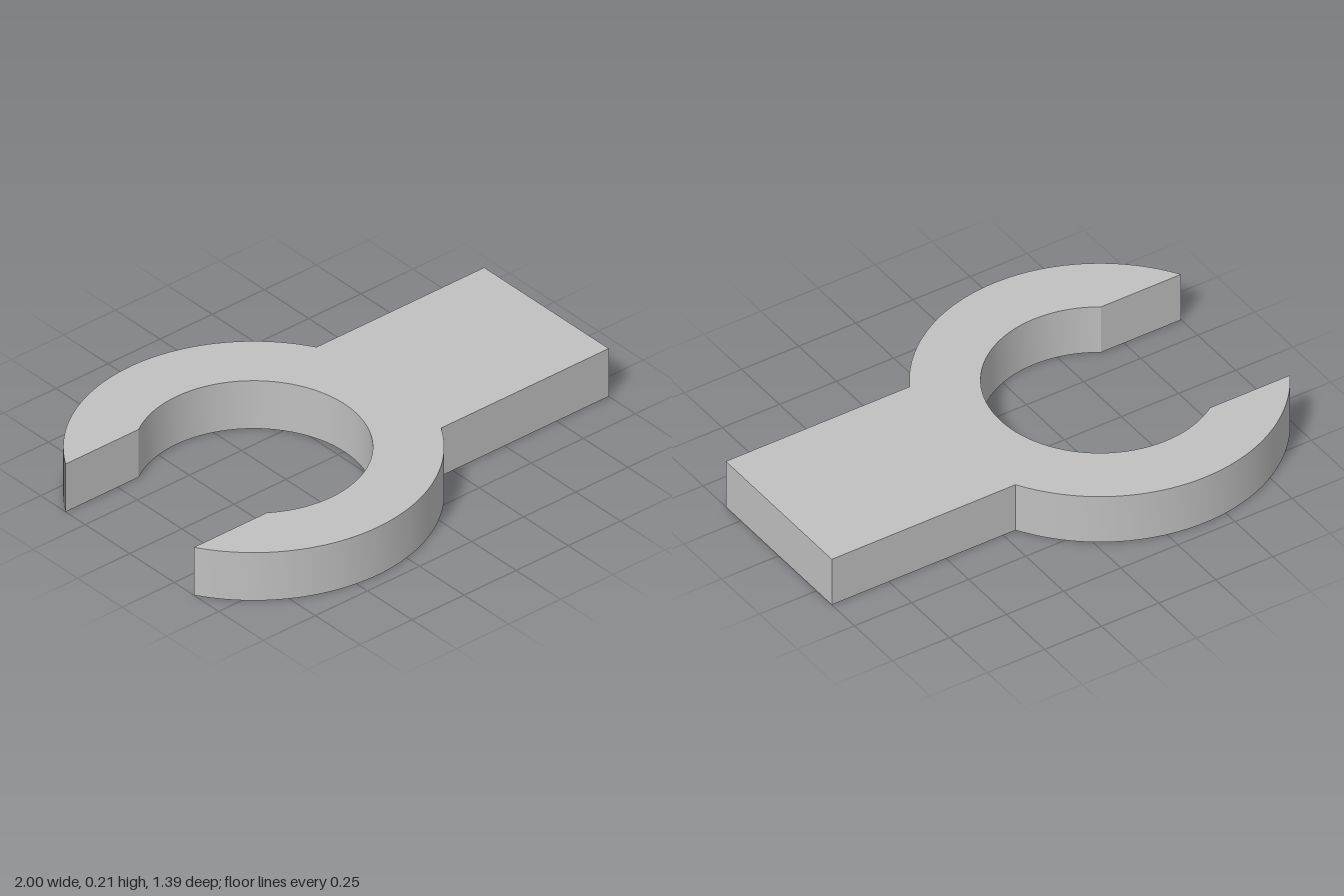
import * as THREE from 'three';
import { toCreasedNormals } from 'three/addons/utils/BufferGeometryUtils.js';

const HEIGHT = 0.21;
const CENTRE_X = -0.405;   // centre of the jaw ring
const OUTER = 0.695;
const INNER = 0.435;
const MOUTH = 0.36;        // half the width of the jaw opening
const SHANK = 0.35;        // half the width of the shank

export function createModel() {
  const group = new THREE.Group();
  group.name = 'openJawClamp';
  const grey = new THREE.MeshStandardMaterial({ color: 0xc0c0c0 });
  grey.name = 'grey';

  // Angles where the straight edges meet the two circles
  const shankAngle = Math.asin(SHANK / OUTER);
  const tipAngle = Math.PI - Math.asin(MOUTH / OUTER);
  const mouthAngle = Math.PI - Math.asin(MOUTH / INNER);

  // One closed outline: shank, upper jaw, bore, lower jaw
  const outline = new THREE.Shape();
  outline.moveTo(1, -SHANK);
  outline.lineTo(1, SHANK);
  outline.absarc(CENTRE_X, 0, OUTER, shankAngle, tipAngle, false);
  outline.absarc(CENTRE_X, 0, INNER, mouthAngle, -mouthAngle, true);
  outline.absarc(CENTRE_X, 0, OUTER, -tipAngle, -shankAngle, false);
  outline.closePath();

  const extruded = new THREE.ExtrudeGeometry(outline, {
    depth: HEIGHT, bevelEnabled: false, curveSegments: 32,
  });
  extruded.rotateX(-Math.PI / 2);

  // Smooth round walls, sharp corners
  const body = new THREE.Mesh(toCreasedNormals(extruded, 0.4), grey);
  body.name = 'jawAndShank';
  group.add(body);
  return group;
}
